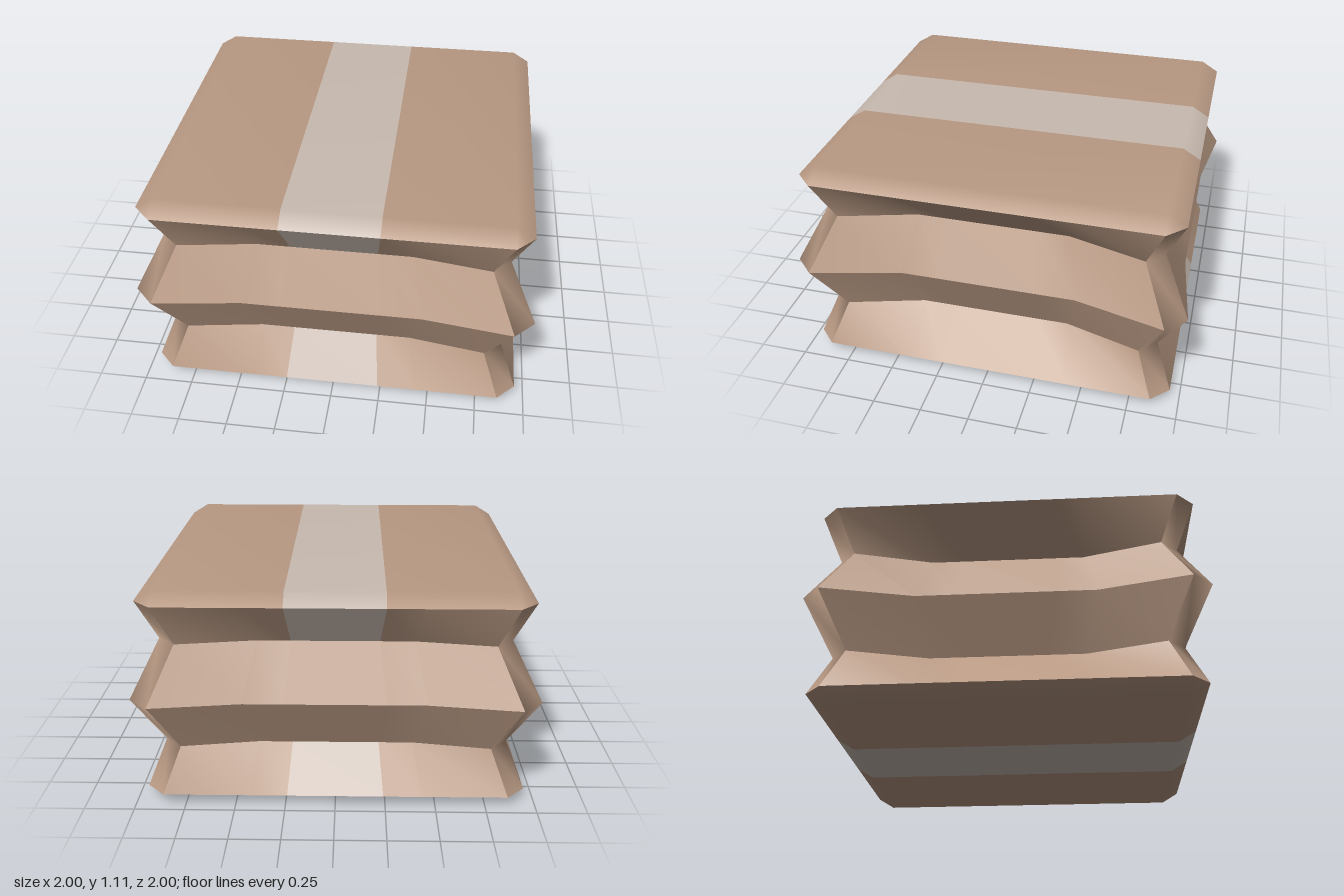
import * as THREE from 'three';

const cardboard = new THREE.MeshStandardMaterial({ color: 0xb89983 });
cardboard.name = 'cardboard';
const tape = new THREE.MeshStandardMaterial({ color: 0xc8bab0 });
tape.name = 'packing tape';

// Rings from top to bottom: height, outer reach, half-width of the flat wall, dent strength
const RINGS = [
  [1.05, 0.95, 0.86, 0],
  [0.83, 0.86, 0.775, 1],
  [0.555, 1.0, 0.9, 1],
  [0.28, 0.86, 0.775, 1],
  [0.055, 0.95, 0.86, 0],
];
const TOP = 1.105;
const INSET = 0.86;
const TAPE = 0.24;

// Smooth surface through rows of points; one column may be taped
function grid(name, rows, tapeColumn = -1) {
  const geometry = new THREE.BufferGeometry();
  const columns = rows[0].length;
  const plain = [];
  const taped = [];
  for (let r = 0; r < rows.length - 1; r++) {
    for (let c = 0; c < columns - 1; c++) {
      const a = r * columns + c;
      const b = a + columns;
      (c === tapeColumn ? taped : plain).push(a, b, b + 1, a, b + 1, a + 1);
    }
  }
  geometry.setAttribute('position', new THREE.Float32BufferAttribute(rows.flat(2), 3));
  geometry.setIndex([...plain, ...taped]);
  geometry.addGroup(0, plain.length, 0);
  if (taped.length) geometry.addGroup(plain.length, taped.length, 1);
  geometry.computeVertexNormals();
  const mesh = new THREE.Mesh(geometry, [cardboard, tape]);
  mesh.name = name;
  return mesh;
}

// Flat panel with a sloping lip and cut corners
function panel(name, isTop) {
  const xs = [-0.95, -INSET, -TAPE, TAPE, INSET, 0.95];
  if (!isTop) xs.reverse();
  const rows = [-0.95, -INSET, INSET, 0.95].map((z) => xs.map((x) => {
    const edgeX = Math.abs(x) > INSET;
    const edgeZ = Math.abs(z) > INSET;
    const k = edgeX && edgeZ ? 0.905 / 0.95 : 1;
    const y = edgeX || edgeZ ? 1.05 : TOP;
    return [x * k, isTop ? y : TOP - y, z * k];
  }));
  return grid(name, rows, 2);
}

// Folded wall facing +z, dented inwards between its corners
function wall(name, dent, hasTape) {
  const group = new THREE.Group();
  group.name = name;
  const t = TAPE / INSET;
  const steps = [-1, -0.5, -t, t, 0.5, 1];
  const rows = RINGS.map(([y, reach, half, strength]) => steps.map((f) =>
    [f * half, y, reach - (Math.abs(f) < 1 ? dent * strength : 0)]));
  for (let i = 0; i < rows.length - 1; i++) {
    const outerFold = i === 0 || i === rows.length - 2;
    group.add(grid('fold', [rows[i], rows[i + 1]], hasTape && outerFold ? 2 : -1));
  }
  return group;
}

export function createModel() {
  const model = new THREE.Group();
  model.name = 'crushedBox';
  model.add(panel('topPanel', true), panel('bottomPanel', false));

  const names = ['front', 'left', 'back', 'right'];
  names.forEach((name, i) => {
    const isSide = i % 2 === 1;
    const face = wall(name + 'Wall', isSide ? 0.115 : 0.06, !isSide);
    // Narrow zigzag strip closing the corner beside each wall
    const corner = grid(name + 'CornerEdge', RINGS.map(([y, reach, half]) =>
      [[half, y, reach], [reach, y, half]]));
    face.rotation.y = corner.rotation.y = i * Math.PI / 2;
    model.add(face, corner);
  });
  return model;
}
